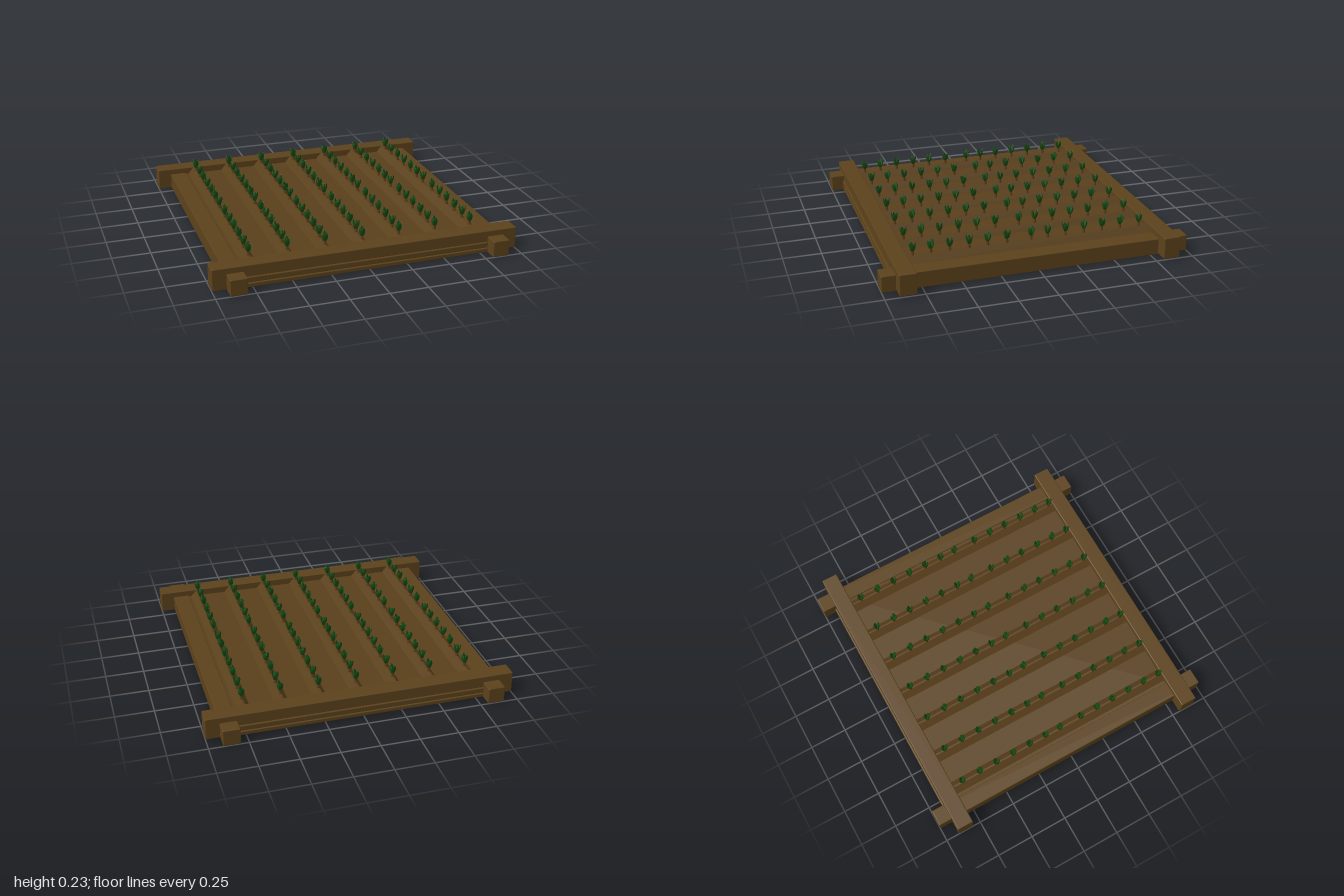
import * as THREE from 'three';
import { mergeGeometries } from 'three/addons/utils/BufferGeometryUtils.js';
import { RoundedBoxGeometry } from 'three/addons/geometries/RoundedBoxGeometry.js';

const material = (name, color, extra = {}) => {
  const m = new THREE.MeshStandardMaterial({ color, ...extra });
  m.name = name;
  return m;
};

// One leaf: a slim pointed blade rising from the origin and leaning along +z
function leafGeometry(height, lean) {
  const g = new THREE.SphereGeometry(1, 6, 6);
  const p = g.attributes.position;
  for (let i = 0; i < p.count; i++) {
    const t = (p.getY(i) + 1) / 2;
    p.setXYZ(i, p.getX(i) * 0.014, t * height, p.getZ(i) * 0.005 + lean * Math.sin(t * 1.75));
  }
  g.computeVertexNormals();
  return g;
}

// A sprout: two tall leaves in a V and two shorter ones across it
function sproutGeometry() {
  const leaves = [];
  for (let i = 0; i < 4; i++) {
    const tall = i % 2 === 0;
    const leaf = leafGeometry(tall ? 0.07 : 0.06, tall ? 0.019 : 0.018);
    leaf.rotateY(i * Math.PI / 2 + (tall ? 0.25 : 0.55));
    leaf.translate(0, 0.016, 0);
    leaves.push(leaf);
  }
  return mergeGeometries(leaves);
}

export function createModel() {
  const group = new THREE.Group();
  const wood = material('wood', 0x5c421b);
  const soil = material('soil', 0x5a401b, { flatShading: true });
  const leafGreen = material('leaf green', 0x184a12);
  const stemBrown = material('stem brown', 0x5f3d18);

  const add = (name, geometry, mat, x = 0, y = 0, z = 0) => {
    const mesh = new THREE.Mesh(geometry, mat);
    mesh.name = name;
    mesh.position.set(x, y, z);
    group.add(mesh);
    return mesh;
  };
  const board = (name, w, h, d, x, y, z) =>
    add(name, new RoundedBoxGeometry(w, h, d, 2, 0.006), wood, x, y, z);

  // Timber frame with overlapping corners
  for (const s of [-1, 1]) {
    board('crossBeam', 2, 0.142, 0.11, 0, 0.076, s * 0.855);
    board('sideBeam', 0.11, 0.108, 2, s * 0.855, 0.054, 0);
    board('lowerBoard', 1.6, 0.028, 0.02, 0, 0.018, s * 0.911);
    board('upperBoard', 1.6, 0.036, 0.02, 0, 0.054, s * 0.911);
  }

  // Soil bed
  add('soilBed', new THREE.BoxGeometry(1.62, 0.085, 1.62), soil, 0, 0.0575, 0);

  // Ridges and their sprouts
  const ridgeShape = new THREE.Shape([
    new THREE.Vector2(-0.045, 0), new THREE.Vector2(0.045, 0),
    new THREE.Vector2(0.006, 0.045), new THREE.Vector2(-0.006, 0.045),
  ]);
  const ridge = new THREE.ExtrudeGeometry(ridgeShape, { depth: 1.6, bevelEnabled: false });
  ridge.translate(0, 0, -0.8);
  const sprout = sproutGeometry();
  const stem = new THREE.CylinderGeometry(0.008, 0.011, 0.03, 6);
  const rowZ = [-0.735, -0.605, -0.48, -0.355, -0.23, -0.11, 0, 0.16, 0.285, 0.405, 0.53, 0.65, 0.765];

  for (let r = -3; r <= 3; r++) {
    const x = r * 0.2455;
    add('soilRidge', ridge, soil, x, 0.099, 0);
    rowZ.forEach((z, i) => {
      add('stem', stem, stemBrown, x, 0.154, z);
      const leaves = add('sproutLeaves', sprout, leafGreen, x, 0.143, z);
      leaves.rotation.y = [0, 0.7, -0.3, 0.4, -0.6][i % 5];
    });
  }
  return group;
}
